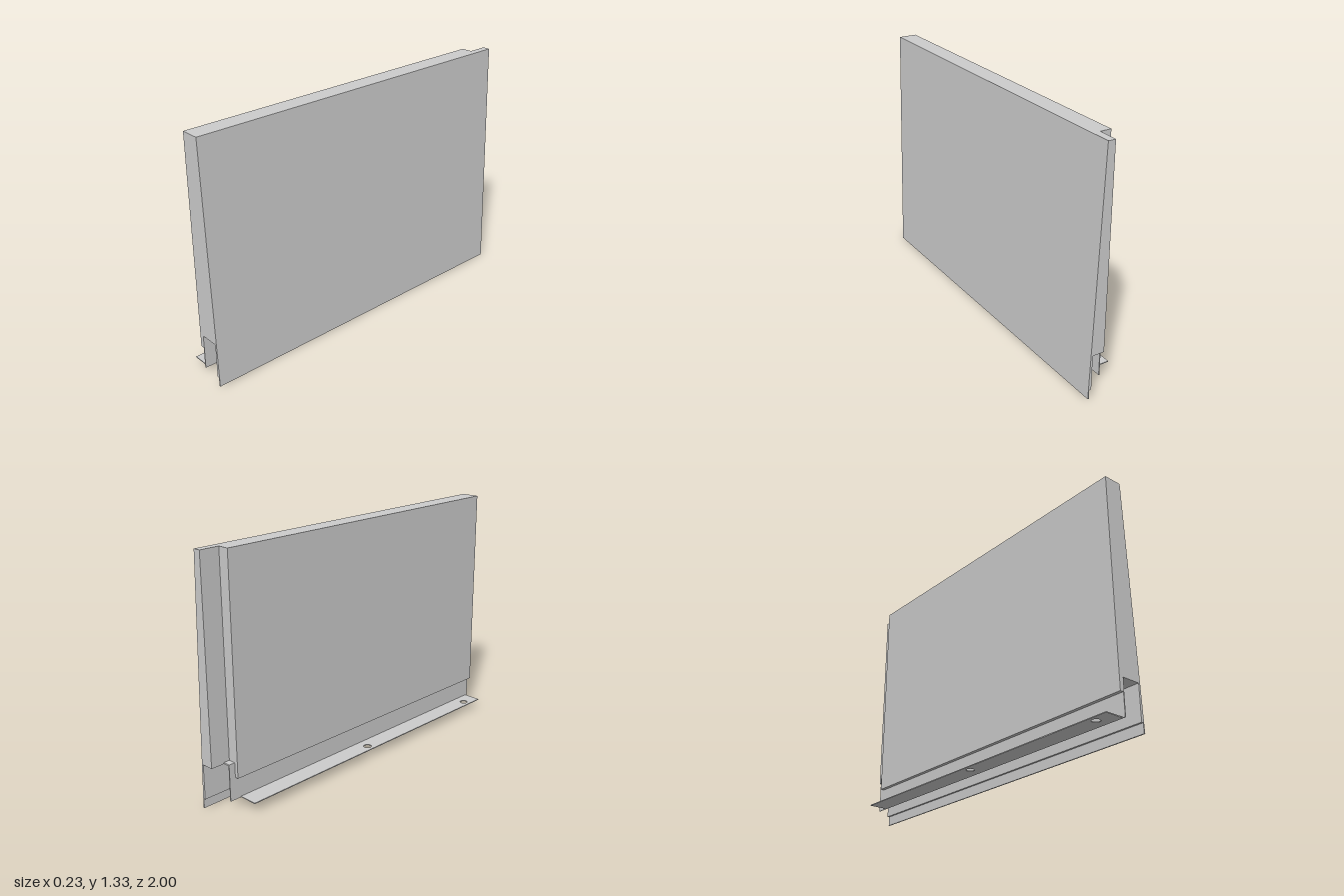
import * as THREE from 'three';

const material = new THREE.MeshStandardMaterial({ color: 0xcccccc, flatShading: true });

export function createModel() {
  const group = new THREE.Group();

  const add = (name, geometry) => {
    const mesh = new THREE.Mesh(geometry, material);
    mesh.name = name;
    group.add(mesh);
    return mesh;
  };

  // Extrudes an x/y outline from z0 to z1
  const prism = (name, points, z0, z1) => {
    const shape = new THREE.Shape(points.map(([x, y]) => new THREE.Vector2(x, y)));
    const geometry = new THREE.ExtrudeGeometry(shape, { depth: z1 - z0, bevelEnabled: false });
    geometry.translate(0, 0, z0);
    return add(name, geometry);
  };

  const top = 1.325, backX = -0.031, stepX = 0.03, rearZ = -0.89;

  // Sloping face, its lower skirt and the outer leg of the bottom channel
  const outerLeg = [[0.114, 0], [0.071, top]];
  const skirt = [[0.096, 0.242], [0.096, 0.052], [0.107, 0.052], [0.107, 0]];

  // Main body, with the inner leg of the channel
  prism('body', [
    ...outerLeg, [backX, top], [backX, 0.17], [-0.011, 0.17], [-0.011, 0.05],
    [-0.006, 0.05], [-0.006, 0.242], ...skirt,
  ], rearZ, 1);

  // Narrow rear end beside the stepped recess
  prism('rearEdge', [...outerLeg, [stepX, top], [stepX, 0.242], ...skirt], -1, rearZ);

  // Channel end that projects into the recess
  prism('channelEnd', [
    [stepX, 0.242], [stepX, 0.25], [-0.011, 0.25], [-0.011, 0.05],
    [-0.006, 0.05], [-0.006, 0.242],
  ], -0.925, rearZ);

  // Mounting flange with two screw holes
  const plate = new THREE.Shape([
    [-0.115, -0.985], [-0.008, -0.985], [-0.008, 0.86], [-0.115, 0.86],
  ].map(([x, y]) => new THREE.Vector2(x, y)));
  for (const z of [0, 0.885]) {
    plate.holes.push(new THREE.Path().absarc(-0.075, -z, 0.022, 0, Math.PI * 2, true));
  }
  const flange = new THREE.ExtrudeGeometry(plate, { depth: 0.005, bevelEnabled: false, curveSegments: 24 });
  flange.rotateX(-Math.PI / 2);
  flange.translate(0, 0.05, 0);
  add('mountingFlange', flange);

  return group;
}
